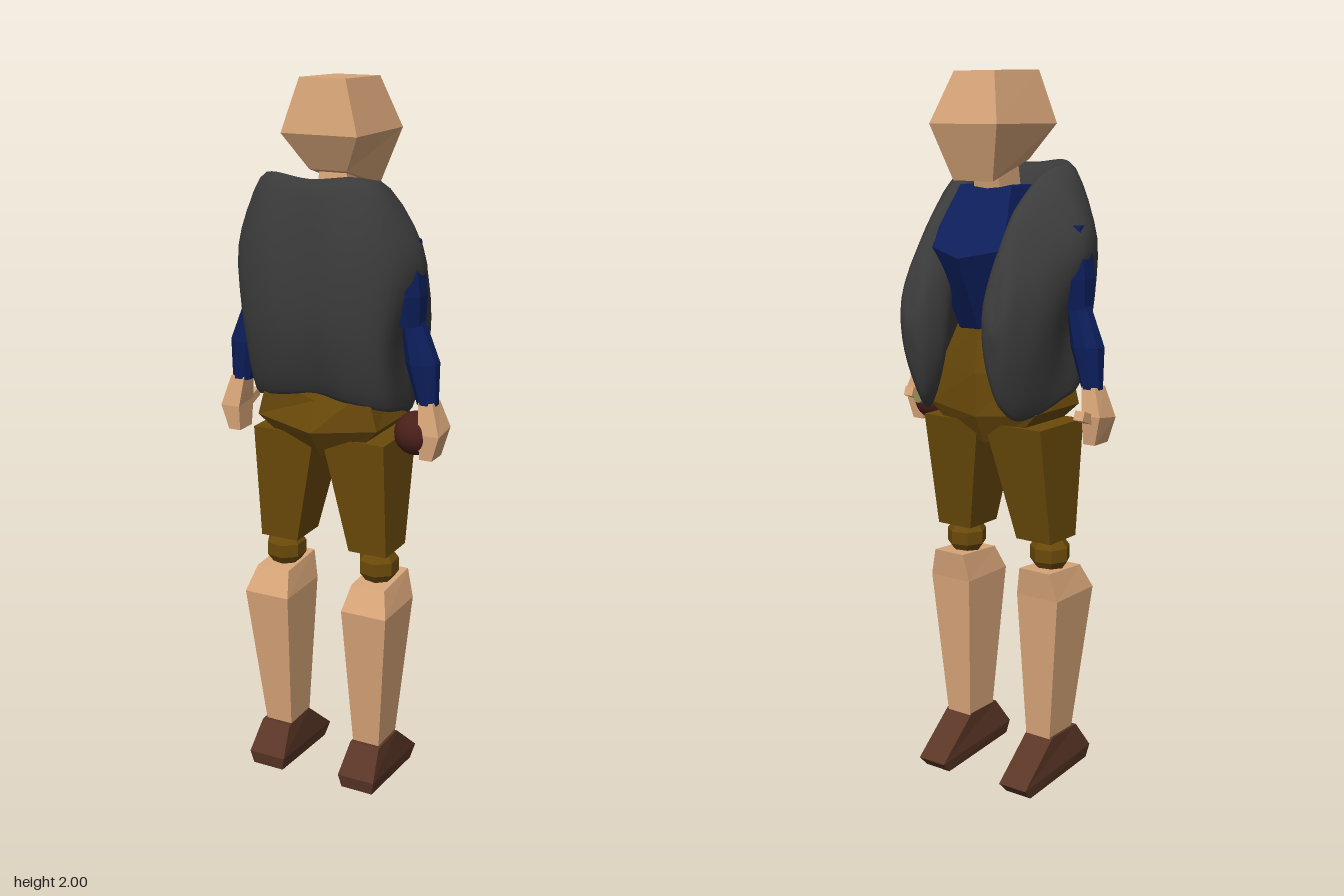
import * as THREE from 'three';
import { mergeVertices } from 'three/addons/utils/BufferGeometryUtils.js';

const SKIN = 0xd9a679, BLUE = 0x0d1f5c, TAN = 0x6b4a0a, FUR = 0x3c3c3c, LEATHER = 0x5a3626;
const V = (x, y, z) => new THREE.Vector3(x, y, z);

// Skin a list of point rings, closing both ends
function loft(rings, smooth = false) {
  const n = rings[0].length, last = (rings.length - 1) * n, index = [];
  for (let i = 0; i < rings.length - 1; i++) {
    for (let j = 0; j < n; j++) {
      const a = i * n + j, b = i * n + (j + 1) % n;
      index.push(a, b, b + n, a, b + n, a + n);
    }
  }
  for (let j = 1; j < n - 1; j++) {
    index.push(0, j + 1, j, last, last + j, last + j + 1);
  }
  let geo = new THREE.BufferGeometry().setFromPoints(rings.flat());
  geo.setIndex(index);
  geo = smooth ? mergeVertices(geo, 1e-4) : geo.toNonIndexed();
  geo.computeVertexNormals();
  return geo;
}

// Four-cornered ring; the back and front edges may differ in height and width
function quad(cx, wBack, yBack, zBack, yFront = yBack, zFront = -zBack, wFront = wBack) {
  return [V(cx - wBack, yBack, zBack), V(cx + wBack, yBack, zBack),
    V(cx + wFront, yFront, zFront), V(cx - wFront, yFront, zFront)];
}

// Six-cornered symmetric ring: centre back, side back, side front, centre front
function hex([yb, zb], [xs, ys, zs], [xf, yf, zf], [yc, zc]) {
  return [V(0, yb, zb), V(xs, ys, zs), V(xf, yf, zf), V(0, yc, zc), V(-xf, yf, zf), V(-xs, ys, zs)];
}

// Eight-cornered ring
function oct(cx, y, cz, rx, rz) {
  return Array.from({ length: 8 }, (_, i) => {
    const a = (i + 0.5) * Math.PI / 4;
    return V(cx + rx * Math.sin(a), y, cz + rz * Math.cos(a));
  }).reverse().map((p) => V(2 * cx - p.x, p.y, p.z)).reverse().map((p) => V(2 * cx - p.x, p.y, p.z));
}

// Fur mantle: section control points (hem, outer low/high, top, inner high/low)
// from the middle of the back, round the shoulder, to the hanging chest lobe
const MANTLE = [
  [0, 1.18, .14, 0, 1.35, .203, 0, 1.6, .203, 0, 1.755, .165, 0, 1.62, .1, 0, 1.35, .12],
  [.1, 1.17, .15, .1, 1.35, .21, .12, 1.6, .205, .11, 1.765, .15, .09, 1.62, .1, .08, 1.35, .12],
  [.19, 1.15, .11, .205, 1.33, .16, .22, 1.58, .15, .16, 1.755, .11, .11, 1.62, .07, .14, 1.33, .08],
  [.2, 1.13, .02, .21, 1.33, .04, .265, 1.56, .05, .14, 1.74, .04, .08, 1.62, .03, .15, 1.33, .03],
  [.18, 1.1, -.06, .22, 1.3, -.06, .23, 1.52, -.05, .13, 1.68, -.04, .075, 1.58, -.05, .13, 1.3, -.06],
  [.15, 1.09, -.12, .2, 1.25, -.14, .2, 1.46, -.13, .13, 1.61, -.11, .08, 1.48, -.13, .08, 1.25, -.13],
  [.13, 1.14, -.17, .17, 1.25, -.19, .175, 1.4, -.195, .14, 1.5, -.17, .1, 1.4, -.195, .1, 1.25, -.19],
];

function mantleGeometry() {
  const half = MANTLE.map((s) => [0, 3, 6, 9, 12, 15].map((k) => V(s[k], s[k + 1], s[k + 2])));
  half.push(Array.from({ length: 6 }, () => V(.14, 1.33, -.213)));
  const flip = half.slice(1).map((s) => s.map((p) => V(-p.x, p.y, p.z)));
  const stations = [...half.reverse(), ...flip];
  const rails = [0, 1, 2, 3, 4, 5].map((k) => new THREE.CatmullRomCurve3(stations.map((s) => s[k])));
  const rings = [];
  for (let i = 0; i <= 70; i++) {
    const section = new THREE.CatmullRomCurve3(rails.map((r) => r.getPoint(i / 70)), true);
    rings.push(section.getPoints(28).slice(0, -1));
  }
  return loft(rings, true);
}

export function createModel() {
  const model = new THREE.Group();
  const add = (name, geo, color, smooth = false) => {
    const mesh = new THREE.Mesh(geo, new THREE.MeshStandardMaterial({ color, flatShading: !smooth }));
    mesh.name = name;
    model.add(mesh);
    return mesh;
  };

  // Head and neck
  add('head', loft([
    quad(0, .055, 1.765, .07, 1.713, -.106, .065),
    quad(0, .11, 1.86, .122, 1.86, -.15),
    quad(0, .066, 2, .1, 1.995, -.1),
  ]), SKIN);
  add('neck', loft([quad(0, .045, 1.62, .06, 1.62, -.03), quad(0, .04, 1.8, .035, 1.78, -.06)]), SKIN);

  // Shirt body and hips
  add('shirt', loft([
    hex([1.3, .09], [.075, 1.3, .08], [.075, 1.3, -.06], [1.3, -.075]),
    hex([1.52, .12], [.13, 1.54, .1], [.122, 1.54, -.14], [1.515, -.175]),
    hex([1.7, .07], [.09, 1.7, .06], [.085, 1.7, -.05], [1.69, -.06]),
  ]), BLUE);
  add('hips', loft([
    hex([1.0, .12], [.13, 1.05, .12], [.13, 1.05, -.06], [1.0, -.06]),
    hex([1.08, .178], [.18, 1.1, .14], [.18, 1.1, -.07], [1.08, -.1]),
    hex([1.165, .15], [.15, 1.21, .14], [.14, 1.21, -.07], [1.2, -.1]),
    hex([1.34, .1], [.08, 1.34, .09], [.08, 1.34, -.06], [1.34, -.08]),
  ]), TAN);

  add('furMantle', mantleGeometry(), FUR, true);

  for (const [side, s] of [['left', 1], ['right', -1]]) {
    // Leg
    add(side + 'Thigh', loft([
      quad(s * .138, .057, .73, .107, .73, -.018),
      quad(s * .105, .093, 1.06, .135, 1.06, -.075),
    ]), TAN);
    add(side + 'Knee', new THREE.SphereGeometry(.06, 7, 5), TAN).position.set(s * .147, .685, .052);
    add(side + 'Shin', loft([
      quad(s * .142, .04, .14, .115, .14, .005),
      quad(s * .153, .068, .57, .16, .57, -.02),
      quad(s * .15, .05, .64, .125, .65, -.03),
    ]), SKIN);
    add(side + 'Shoe', loft([
      quad(s * .145, .048, .03, .18, .004, -.095, .042),
      quad(s * .145, .056, .07, .187, .036, -.125, .045),
      quad(s * .145, .045, .15, .13, .15, .01),
    ]), LEATHER);

    // Arm
    add(side + 'UpperArm', loft([
      oct(s * .232, 1.38, .05, .038, .054),
      oct(s * .23, 1.46, .05, .043, .066),
      oct(s * .2, 1.6, .05, .055, .06),
    ]), BLUE);
    add(side + 'Forearm', loft([
      oct(s * .284, 1.165, .045, .029, .028),
      oct(s * .267, 1.28, .045, .047, .042),
      oct(s * .235, 1.4, .045, .03, .035),
    ]), BLUE);
    add(side + 'Hand', loft([
      quad(s * .295, .018, 1.02, .08, 1.02, .015),
      quad(s * .305, .029, 1.09, .085, 1.1, .005),
      quad(s * .287, .021, 1.175, .07, 1.175, .02),
    ]), SKIN);
    const thumb = add(side + 'Thumb', new THREE.BoxGeometry(.03, .026, .07), SKIN);
    thumb.position.set(s * .292, 1.095, .002);
    thumb.rotation.x = .35;
  }

  // Flask hanging at the left hip
  const flask = add('flask', new THREE.SphereGeometry(.06, 20, 14), 0x4a1f1a, true);
  flask.position.set(.25, 1.08, .04);
  const spout = add('flaskSpout', new THREE.CylinderGeometry(.017, .014, .06, 12), 0x8a8450);
  spout.position.set(.25, 1.09, -.01);
  spout.rotation.x = -Math.PI / 2 + .2;
  return model;
}
